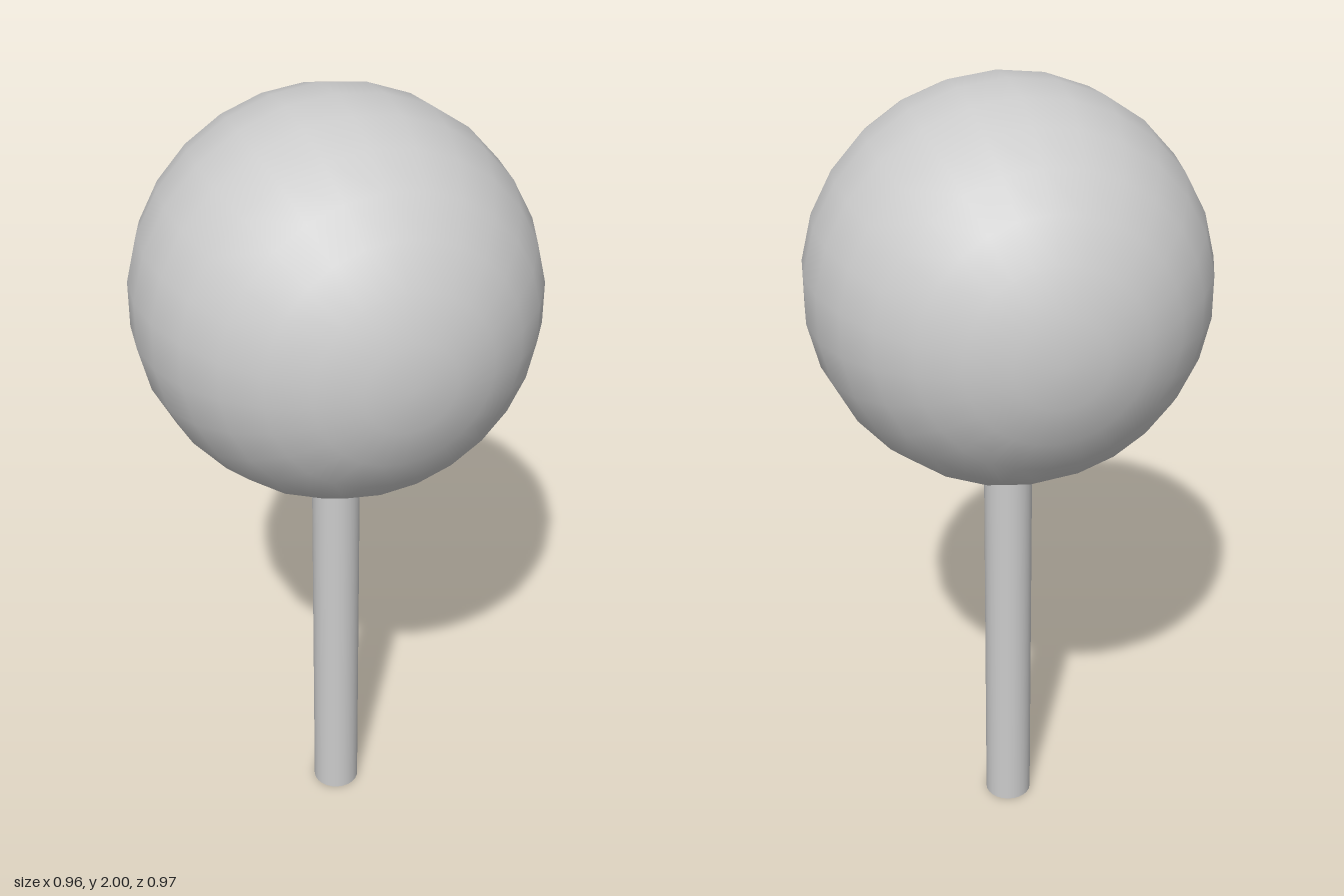
import * as THREE from 'three';

export function createModel() {
  const model = new THREE.Group();
  const radius = 0.483;
  const centreY = 2 - radius;

  // Smooth ball with its poles along z
  const ballGeometry = new THREE.SphereGeometry(radius, 26, 14);
  ballGeometry.rotateY(Math.PI / 2).rotateX(Math.PI / 2);
  const ball = new THREE.Mesh(ballGeometry, new THREE.MeshStandardMaterial({ color: 0xcccccc }));
  ball.name = 'ball';
  ball.position.y = centreY;

  // Hollow stick, open at the ends, reaching just inside the ball
  const stickHeight = 1.1;
  const stick = new THREE.Mesh(
    new THREE.CylinderGeometry(0.06, 0.06, stickHeight, 24, 1, true),
    new THREE.MeshStandardMaterial({ color: 0xcccccc, side: THREE.DoubleSide })
  );
  stick.name = 'stick';
  stick.position.y = stickHeight / 2;

  model.add(ball, stick);
  return model;
}
